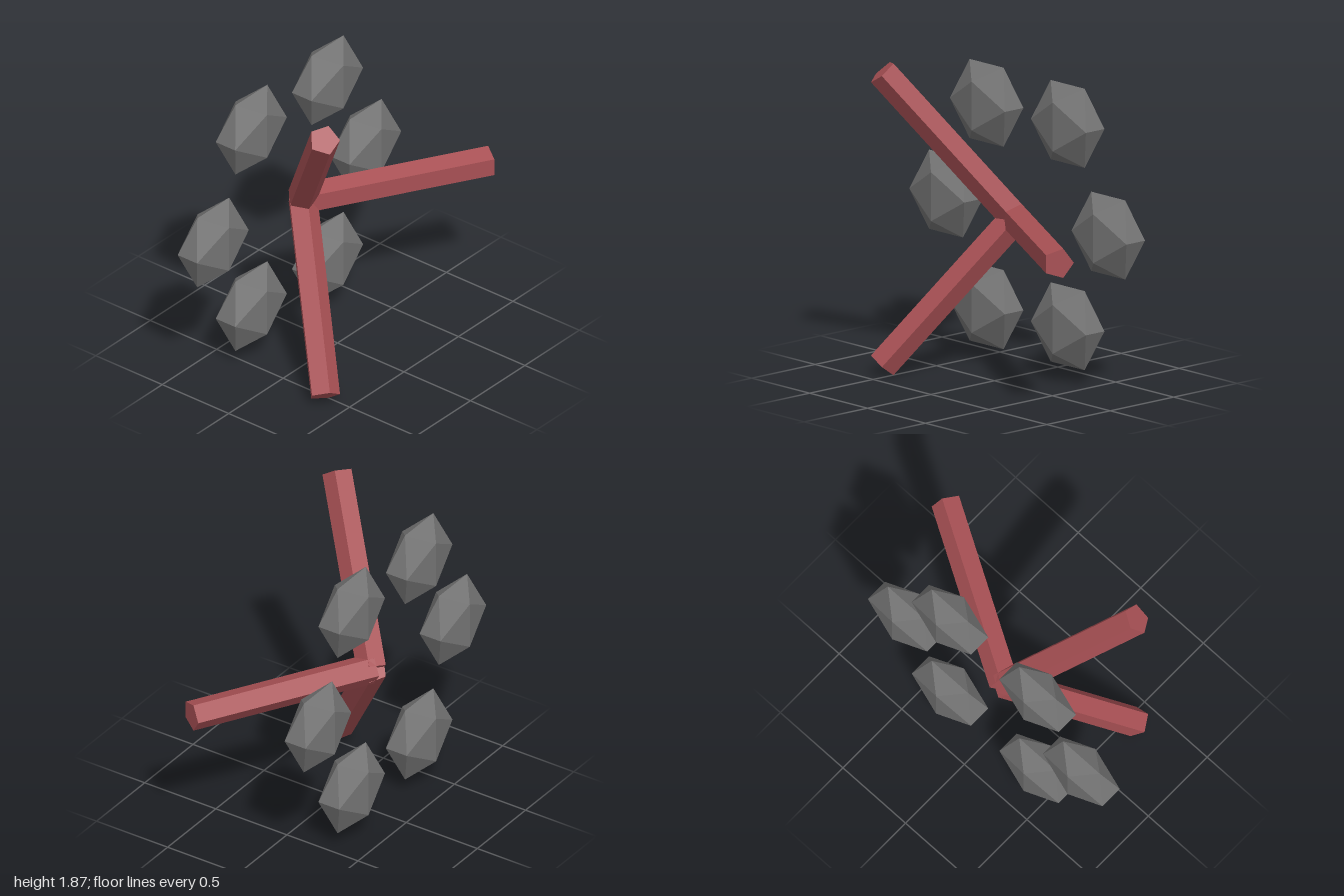
import * as THREE from 'three';

const HUB = { x: -0.06, y: 0.937 };

export function createModel() {
  const model = new THREE.Group();
  model.name = 'model';
  const red = new THREE.MeshStandardMaterial({ color: 0xa85054, flatShading: true });
  const gray = new THREE.MeshStandardMaterial({ color: 0x747474, flatShading: true });

  // Five-sided arms, pointed edge to the back, leaning 30 degrees forward
  const length = 1.17;
  const armGeometry = new THREE.CylinderGeometry(0.092, 0.092, length, 5, 1, false, Math.PI);
  armGeometry.translate(0, length / 2, 0);
  armGeometry.rotateZ(-Math.PI / 2);
  armGeometry.rotateY(-Math.PI / 6);
  const arms = new THREE.Group();
  arms.name = 'arms';
  for (let i = 0; i < 3; i++) {
    const arm = new THREE.Mesh(armGeometry, red);
    arm.name = `arm${i + 1}`;
    arm.position.set(HUB.x, HUB.y, -0.22);
    arm.rotation.z = (i * Math.PI * 2) / 3;
    arms.add(arm);
  }
  model.add(arms);

  // Ring of six flattened stones behind the arms
  const stoneGeometry = new THREE.IcosahedronGeometry(0.279, 0);
  stoneGeometry.scale(1, 1, 0.5);
  const stones = new THREE.Group();
  stones.name = 'stones';
  for (let i = 0; i < 6; i++) {
    const angle = (i * Math.PI) / 3;
    const stone = new THREE.Mesh(stoneGeometry, gray);
    stone.name = `stone${i + 1}`;
    stone.position.set(HUB.x + 0.7 * Math.cos(angle), HUB.y + 0.7 * Math.sin(angle), -0.313);
    stones.add(stone);
  }
  model.add(stones);
  return model;
}
